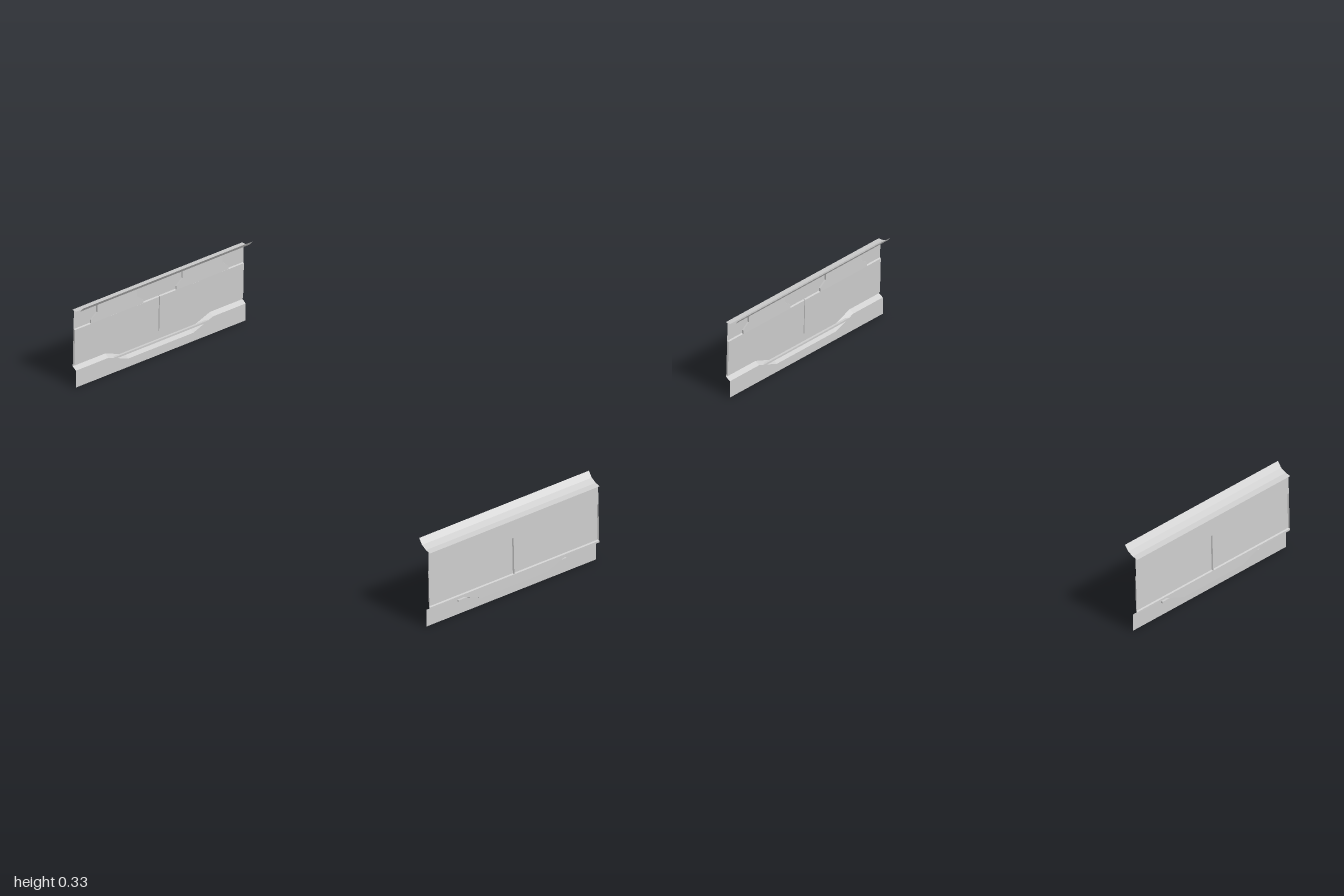
import * as THREE from 'three';

const HALF = 0.362; // half length of a side
const SKIRT_Z = 0.98;
const material = new THREE.MeshStandardMaterial({
  color: 0xcccccc, flatShading: true, side: THREE.DoubleSide,
});

// The upper wall leans slightly inward as it rises
const wallZ = (y) => 0.999 - 0.03 * (y - 0.04);

// Sheet lofted through rows of [x, y, z] points, rows listed bottom to top
function loft(name, rows) {
  const n = rows[0].length;
  const index = [];
  for (let r = 0; r < rows.length - 1; r++) {
    for (let i = 0; i < n - 1; i++) {
      const a = r * n + i, b = a + 1, c = a + n, d = c + 1;
      index.push(a, b, d, a, d, c);
    }
  }
  const geometry = new THREE.BufferGeometry();
  geometry.setAttribute('position', new THREE.Float32BufferAttribute(rows.flat(2), 3));
  geometry.setIndex(index);
  geometry.computeVertexNormals();
  const mesh = new THREE.Mesh(geometry, material);
  mesh.name = name;
  return mesh;
}

// Straight row across the full length
const row = (y, z) => [[-HALF, y, z], [HALF, y, z]];

// Dropped-centre line followed by the lower edge of the wall
function dropRow(high, low, zAt) {
  return [[-HALF, high], [-0.223, high], [-0.139, low], [0.139, low], [0.223, high], [HALF, high]]
    .map(([x, y]) => [x, y, zAt(y)]);
}

// Rectangle loop on the wall, pushed inward by depth
function rectLoop(x0, x1, y0, y1, depth) {
  return [[x0, y0], [x1, y0], [x1, y1], [x0, y1], [x0, y0]]
    .map(([x, y]) => [x, y, wallZ(y) - depth]);
}

function createSide() {
  const side = new THREE.Group();

  // Skirt, sloping step and lower wall share the dropped-centre line
  const stepBottom = dropRow(0.067, 0.033, () => SKIRT_Z);
  const stepTop = dropRow(0.076, 0.041, wallZ);
  const flat = (y, z) => stepBottom.map(([x]) => [x, y, z]);
  side.add(loft('skirt', [flat(0, SKIRT_Z), stepBottom]));
  side.add(loft('step', [stepBottom, stepTop]));
  side.add(loft('lowerWall', [stepTop, flat(0.083, wallZ(0.083))]));

  // Two shallow recessed panels
  for (const [x0, x1] of [[-HALF, 0], [0, HALF]]) {
    const b = 0.002, y0 = 0.083, y1 = 0.226, depth = 0.006;
    side.add(loft('panelBevel', [
      rectLoop(x0, x1, y0, y1, 0),
      rectLoop(x0 + b, x1 - b, y0 + b, y1 - b, depth),
    ]));
    const r = rectLoop(x0 + b, x1 - b, y0 + b, y1 - b, depth);
    side.add(loft('recessedPanel', [[r[0], r[1]], [r[3], r[2]]]));
  }

  // Upper wall and the concave cove leaning in at the top
  side.add(loft('upperWall', [row(0.226, wallZ(0.226)), row(0.3, wallZ(0.3))]));
  side.add(loft('cove', [
    row(0.3, wallZ(0.3)), row(0.3, 1), row(0.303, 0.978), row(0.313, 0.956), row(0.333, 0.94),
  ]));

  // Shallow housings on the inner face, under the cove
  const outline = [[-0.111, 0.226], [0.111, 0.226], [0.111, 0.24], [0.085, 0.262],
    [0.085, 0.3], [-0.085, 0.3], [-0.085, 0.262], [-0.111, 0.24]];
  const shape = new THREE.Shape(outline.map(([x, y]) => new THREE.Vector2(x, y)));
  const housingGeometry = new THREE.ExtrudeGeometry(shape, { depth: 0.006, bevelEnabled: false });
  for (const s of [-1, 1]) {
    const housing = new THREE.Mesh(housingGeometry, material);
    housing.name = 'innerHousing';
    housing.position.set(s * 0.182, 0, 0.985);
    side.add(housing);
  }

  // Thin bar along the skirt, showing at both ends of the drop
  const bar = new THREE.Mesh(new THREE.BoxGeometry(0.46, 0.007, 0.008), material);
  bar.name = 'skirtBar';
  bar.position.set(0, 0.0555, 0.984);
  side.add(bar);
  return side;
}

export function createModel() {
  const model = new THREE.Group();
  model.name = 'sidePanels';
  const front = createSide();
  front.name = 'frontSide';
  const back = createSide();
  back.name = 'backSide';
  back.rotation.y = Math.PI;
  model.add(front, back);
  return model;
}
